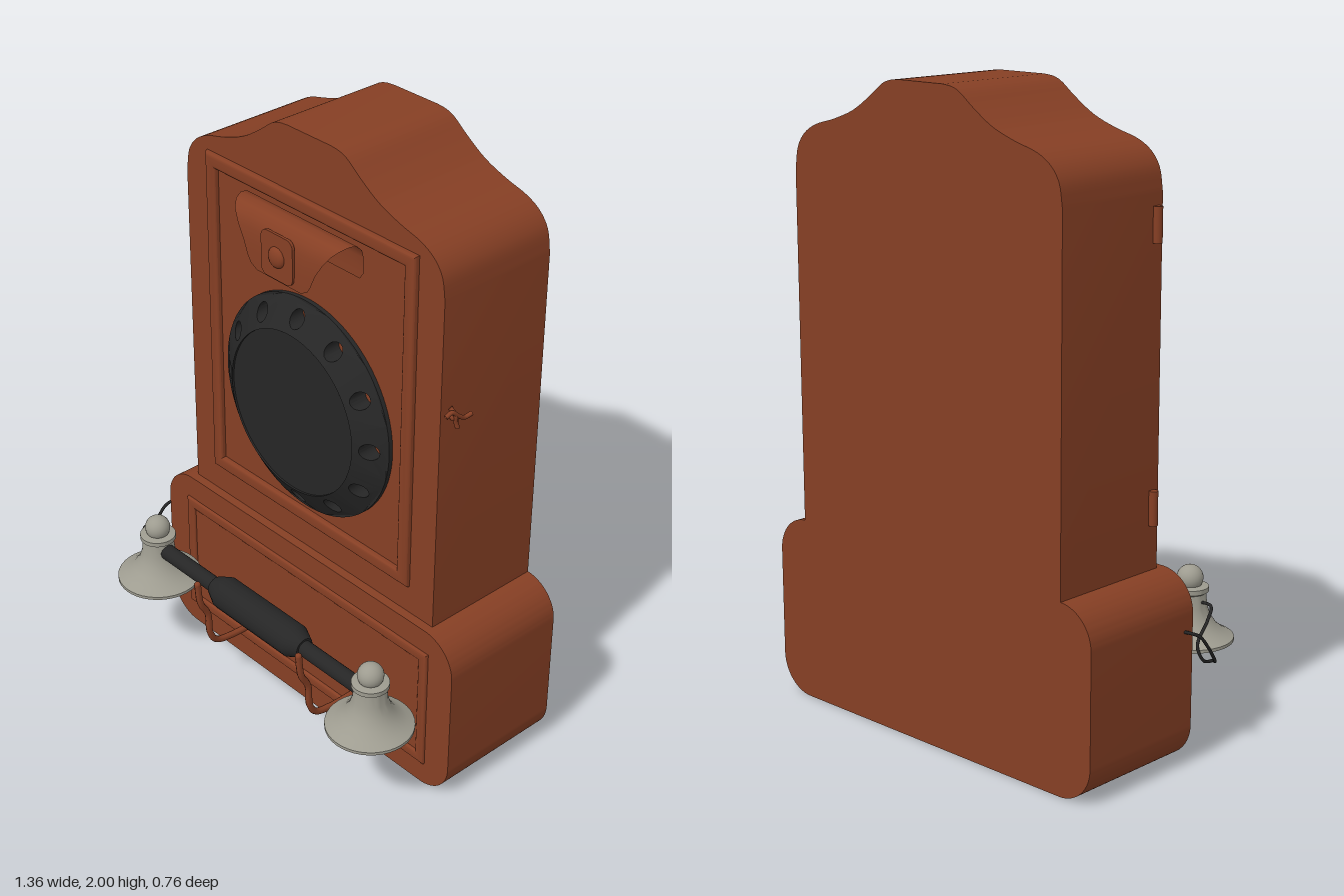
import * as THREE from 'three';
import { toCreasedNormals } from 'three/addons/utils/BufferGeometryUtils.js';

const CX = 0.015; // shared centre line of the cabinet
const V = (x, y, z) => new THREE.Vector3(x, y, z);

export function createModel() {
  const model = new THREE.Group();
  model.name = 'wallTelephone';
  const material = (name, color, side = THREE.FrontSide) => {
    const m = new THREE.MeshStandardMaterial({ color, side });
    m.name = name;
    return m;
  };
  const wood = material('reddish wood', 0x863f24, THREE.DoubleSide);
  const black = material('black', 0x262626);
  const metal = material('dull metal', 0x9e9c90);

  const add = (name, geometry, mat, x = 0, y = 0, z = 0, parent = model) => {
    const mesh = new THREE.Mesh(geometry, mat);
    mesh.name = name;
    mesh.position.set(x, y, z);
    parent.add(mesh);
    return mesh;
  };
  const extrude = (shape, depth, extra = {}) => toCreasedNormals(
    new THREE.ExtrudeGeometry(shape, { depth, bevelEnabled: false, curveSegments: 12, ...extra }), 0.6);
  const tube = (points, radius, segments = 40) =>
    new THREE.TubeGeometry(new THREE.CatmullRomCurve3(points), segments, radius, 8);

  // Base box with rounded corners
  const roundRect = (w, h, r) => {
    const s = new THREE.Shape();
    s.absarc(w / 2 - r, h / 2 - r, r, 0, Math.PI / 2);
    s.absarc(-w / 2 + r, h / 2 - r, r, Math.PI / 2, Math.PI);
    s.absarc(-w / 2 + r, -h / 2 + r, r, Math.PI, Math.PI * 1.5);
    s.absarc(w / 2 - r, -h / 2 + r, r, Math.PI * 1.5, Math.PI * 2);
    s.closePath();
    return s;
  };
  add('baseBox', extrude(roundRect(1.33, 0.59, 0.12), 0.445), wood, CX, 0.295, -0.385);

  // Upper cabinet with a crested top: right half curve, then its mirror
  const crest = new THREE.CatmullRomCurve3([
    [0.548, 1.70], [0.535, 1.77], [0.505, 1.812], [0.455, 1.842], [0.37, 1.866],
    [0.285, 1.898], [0.21, 1.945], [0.155, 1.985], [0.125, 1.996], [0.09, 2.0],
  ].map(([x, y]) => V(x, y, 0))).getPoints(36);
  const right = [new THREE.Vector2(0.548, 0.59), ...crest.map(p => new THREE.Vector2(p.x, p.y))];
  const left = right.map(p => new THREE.Vector2(-p.x, p.y)).reverse();
  add('cabinet', extrude(new THREE.Shape([...right, ...left]), 0.415), wood, CX, 0, -0.385);

  // Rectangular mouldings on the door and the base
  const moulding = (name, w, h, band, rise, y, z) => {
    const b = band * 0.28;
    const rect = (a, c) => [[-a, -c], [a, -c], [a, c], [-a, c]].map(p => new THREE.Vector2(...p));
    const s = new THREE.Shape(rect(w / 2 - b, h / 2 - b));
    s.holes.push(new THREE.Path(rect(w / 2 - band + b, h / 2 - band + b).reverse()));
    const g = extrude(s, 0.004, { bevelEnabled: true, bevelSize: b, bevelThickness: rise, bevelSegments: 3 });
    add(name, g, wood, CX, y, z);
  };
  moulding('doorMoulding', 0.895, 1.115, 0.047, 0.012, 1.243, 0.03);
  moulding('baseMoulding', 1.13, 0.43, 0.036, 0.008, 0.295, 0.058);

  // Dial: sloping ring built from twelve pierced sectors
  const dial = new THREE.Group();
  dial.name = 'dial';
  dial.position.set(CX, 1.118, 0.03);
  model.add(dial);
  const inner = 0.268, outer = 0.362, step = Math.PI / 6;
  const sector = new THREE.Shape();
  sector.absarc(0, 0, outer, -step / 2, step / 2, false);
  sector.absarc(0, 0, inner, step / 2, -step / 2, true);
  sector.closePath();
  const hole = new THREE.Path();
  hole.absarc(0.312, 0, 0.027, 0, Math.PI * 2, true);
  sector.holes.push(hole);
  const sectorGeo = new THREE.ExtrudeGeometry(sector, { depth: 1, bevelEnabled: false, curveSegments: 10 });
  const pos = sectorGeo.attributes.position;
  for (let i = 0; i < pos.count; i++) {
    const t = (outer - Math.hypot(pos.getX(i), pos.getY(i))) / (outer - inner);
    pos.setZ(i, pos.getZ(i) * (0.014 + 0.061 * t));
  }
  const sectorSmooth = toCreasedNormals(sectorGeo, 0.5);
  for (let i = 0; i < 12; i++) add('dialSector', sectorSmooth, black, 0, 0, 0, dial).rotation.z = i * step;
  add('dialCentre', new THREE.CylinderGeometry(0.27, 0.27, 0.068, 64), black, 0, 0, 0.034, dial).rotation.x = Math.PI / 2;

  // Finger stop: a sheet bent out from the door, narrowing downwards [z, y, half width]
  const rows = [
    [0.036, 1.64, 0.22], [0.036, 1.66, 0.234], [0.036, 1.71, 0.235], [0.043, 1.737, 0.235], [0.06, 1.754, 0.234],
    [0.085, 1.76, 0.232], [0.112, 1.752, 0.222], [0.132, 1.734, 0.205], [0.142, 1.70, 0.18],
    [0.145, 1.655, 0.152], [0.146, 1.615, 0.135], [0.146, 1.595, 0.122], [0.146, 1.58, 0.095],
  ];
  const sheet = new THREE.PlaneGeometry(1, 1, 6, rows.length - 1);
  const sp = sheet.attributes.position;
  for (let i = 0; i < sp.count; i++) {
    const [z, y, w] = rows[Math.floor(i / 7)];
    sp.setXYZ(i, sp.getX(i) * 2 * w, y, z);
  }
  sheet.computeVertexNormals();
  add('bentPlate', sheet, wood, CX, 0, 0);
  add('bentPlateBoss', extrude(roundRect(0.135, 0.145, 0.025), 0.009), wood, CX, 1.66, 0.144);
  const button = add('bentPlateScrew', new THREE.SphereGeometry(0.033, 20, 12), wood, CX, 1.66, 0.152);
  button.scale.z = 0.5;

  // Cradle hooks
  for (const x of [-0.228, 0.255]) {
    add('cradleHook', tube([
      V(x, 0.16, 0.04), V(x, 0.163, 0.16), V(x, 0.178, 0.22), V(x, 0.22, 0.245),
      V(x, 0.30, 0.252), V(x, 0.355, 0.28), V(x, 0.435, 0.29),
    ], 0.011), wood);
    add('cradleTip', new THREE.SphereGeometry(0.011, 10, 8), wood, x, 0.435, 0.29);
  }

  // Handset: rod, thick grip and a bell at each end
  const handset = new THREE.Group();
  handset.name = 'handset';
  handset.position.set(CX, 0.423, 0.24);
  model.add(handset);
  const lathe = (pts, n) => toCreasedNormals(
    new THREE.LatheGeometry(pts.map(p => new THREE.Vector2(...p)), n), 0.6);
  add('rod', new THREE.CylinderGeometry(0.026, 0.026, 0.96, 20), black, 0, 0, 0, handset).rotation.z = Math.PI / 2;
  add('grip', lathe([[0, -0.212], [0.033, -0.212], [0.055, -0.165], [0.055, 0.165], [0.033, 0.212], [0, 0.212]], 16),
    black, 0, 0, 0, handset).rotation.z = Math.PI / 2;
  const bell = lathe([
    [0, -0.03], [0.035, -0.04], [0.06, -0.08], [0.10, -0.106], [0.132, -0.119], [0.137, -0.119],
    [0.137, -0.109], [0.112, -0.096], [0.085, -0.074], [0.065, -0.045], [0.054, -0.012], [0.050, 0.03],
    [0.058, 0.035], [0.058, 0.05], [0.035, 0.054], [0, 0.054],
  ], 40);
  for (const x of [-0.505, 0.505]) {
    add('bell', bell, metal, x, 0, 0, handset);
    add('bellKnob', new THREE.SphereGeometry(0.041, 24, 16), metal, x, 0.075, 0, handset);
  }

  // Looping cord
  add('cord', tube([
    V(-0.53, 0.43, 0.24), V(-0.585, 0.433, 0.225), V(-0.617, 0.41, 0.17), V(-0.645, 0.36, 0.09),
    V(-0.652, 0.31, 0.11), V(-0.642, 0.29, 0.17), V(-0.665, 0.30, 0.15), V(-0.678, 0.36, 0.10),
    V(-0.676, 0.405, 0.06), V(-0.66, 0.42, 0.03), V(-0.63, 0.42, 0.02),
  ], 0.005, 90), black);

  // Hinges on one side of the door
  for (const y of [0.782, 1.613]) {
    add('hinge', new THREE.CylinderGeometry(0.014, 0.014, 0.105, 14), wood, -0.542, y, 0.0);
  }

  // Small hook latch on the other side
  add('latchPost', new THREE.SphereGeometry(0.014, 12, 8), wood, 0.572, 1.32, -0.015);
  add('latchArm', tube([
    V(0.578, 1.335, 0.025), V(0.582, 1.345, 0.005), V(0.584, 1.325, -0.02), V(0.584, 1.31, -0.045), V(0.588, 1.315, -0.07),
  ], 0.007, 20), wood);
  add('latchHandle', tube([
    V(0.565, 1.35, -0.005), V(0.582, 1.33, -0.01), V(0.58, 1.305, -0.015), V(0.582, 1.285, -0.02),
  ], 0.007, 16), wood);

  return model;
}
